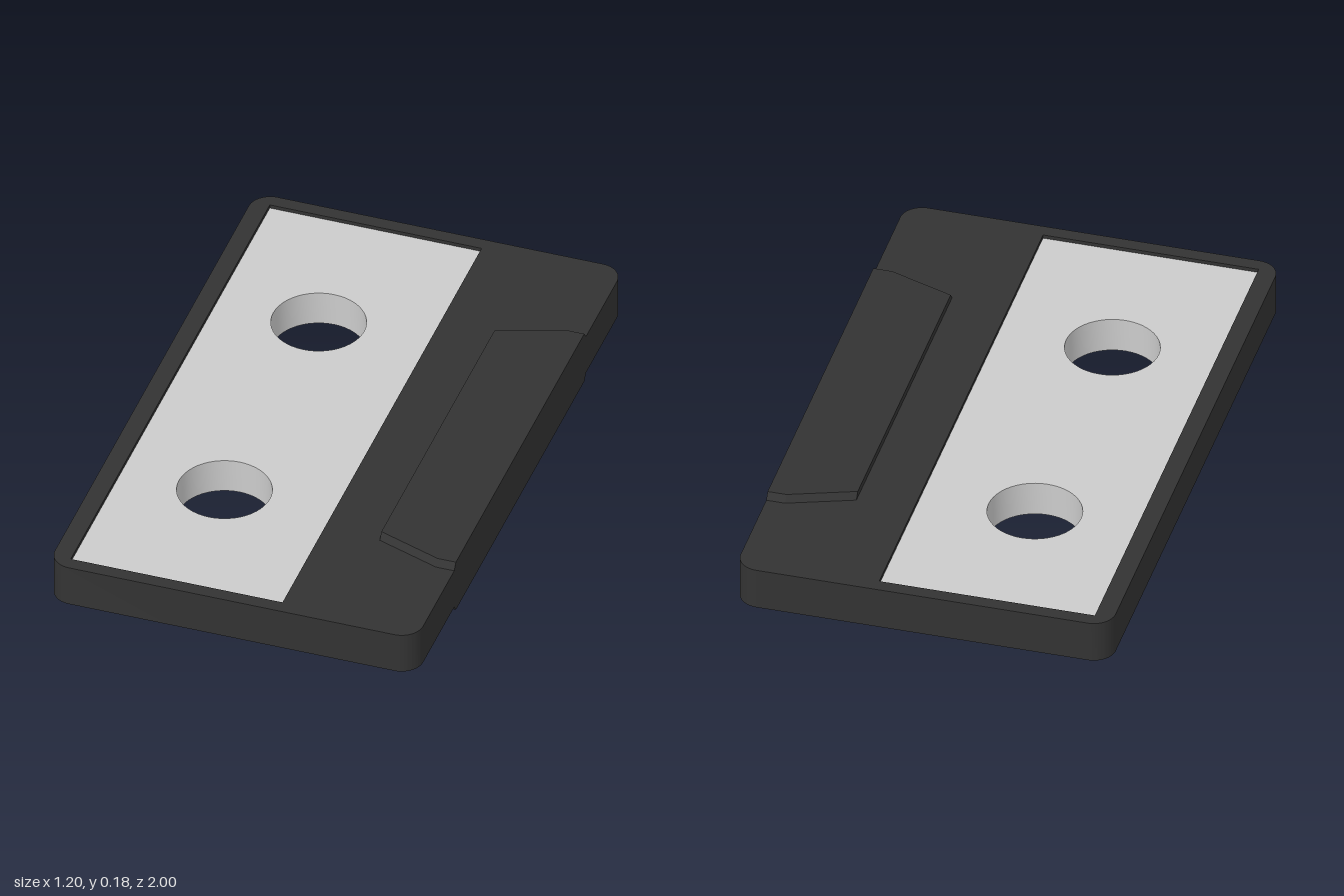
import * as THREE from 'three';
import { toCreasedNormals } from 'three/addons/utils/BufferGeometryUtils.js';

const BODY_BOTTOM = 0.022, BODY_TOP = 0.162, HEIGHT = 0.184, RECESS = 0.012;
const HALF_W = 0.6, HALF_L = 1;

const dark = new THREE.MeshStandardMaterial({ color: 0x333333 });
const grey = new THREE.MeshStandardMaterial({ color: 0xcccccc });

function mesh(name, geometry, material) {
  const m = new THREE.Mesh(geometry, material);
  m.name = name;
  return m;
}

// Extrudes a plan-view shape upwards from y0 to y1
function slab(shape, y0, y1) {
  const g = new THREE.ExtrudeGeometry(shape, { depth: y1 - y0, bevelEnabled: false, curveSegments: 24 });
  g.rotateX(-Math.PI / 2).translate(0, y0, 0);
  return toCreasedNormals(g, 0.6);
}

function rectangle(Path, x0, x1, z) {
  return new Path([[x0, -z], [x1, -z], [x1, z], [x0, z]].map(([x, y]) => new THREE.Vector2(x, y)));
}

function roundedRectangle(w, l, r) {
  const s = new THREE.Shape();
  s.absarc(w - r, l - r, r, 0, Math.PI / 2);
  s.absarc(-w + r, l - r, r, Math.PI / 2, Math.PI);
  s.absarc(-w + r, -l + r, r, Math.PI, Math.PI * 1.5);
  s.absarc(w - r, -l + r, r, Math.PI * 1.5, Math.PI * 2);
  s.closePath();
  return s;
}

// Raised pad: lofts a wide outline on the body to a narrower one outside
function padGeometry(yBase, yFace) {
  const outline = (y, inset) => {
    const half = [[0.6, 0.632], [0.54, 0.632], [0.332, 0.558]].map(([x, z]) => [x, z - inset]);
    return [...half.map(([x, z]) => [x, y, z]), ...half.reverse().map(([x, z]) => [x, y, -z])];
  };
  const base = outline(yBase, 0), face = outline(yFace, 0.016);
  const n = base.length, up = yFace > yBase, positions = [];
  const triangle = (a, b, c) => positions.push(...(up ? [...a, ...c, ...b] : [...a, ...b, ...c]));
  for (let i = 0; i < n; i++) {
    const j = (i + 1) % n;
    triangle(base[i], base[j], face[j]);
    triangle(base[i], face[j], face[i]);
    if (i > 0 && i < n - 1) triangle(face[0], face[i], face[j]);
  }
  const g = new THREE.BufferGeometry();
  g.setAttribute('position', new THREE.Float32BufferAttribute(positions, 3));
  g.computeVertexNormals();
  return g;
}

export function createModel() {
  const model = new THREE.Group();
  model.name = 'mountingPlate';

  // Rounded body with a window for the insert
  const body = roundedRectangle(HALF_W, HALF_L, 0.07);
  body.holes.push(rectangle(THREE.Path, -0.54, 0.15, 0.955));
  model.add(mesh('body', slab(body, BODY_BOTTOM, BODY_TOP), dark));

  // Slightly recessed insert with two bolt holes
  const insert = rectangle(THREE.Shape, -0.54, 0.15, 0.955);
  for (const z of [-0.452, 0.452]) {
    const hole = new THREE.Path();
    hole.absarc(-0.21, z, 0.148, 0, Math.PI * 2, true);
    insert.holes.push(hole);
  }
  model.add(mesh('insert', slab(insert, BODY_BOTTOM + RECESS, BODY_TOP - RECESS), grey));

  // Raised pads along the left edge, above and below
  model.add(mesh('topPad', padGeometry(BODY_TOP, HEIGHT), dark));
  model.add(mesh('bottomPad', padGeometry(BODY_BOTTOM, 0), dark));
  return model;
}
